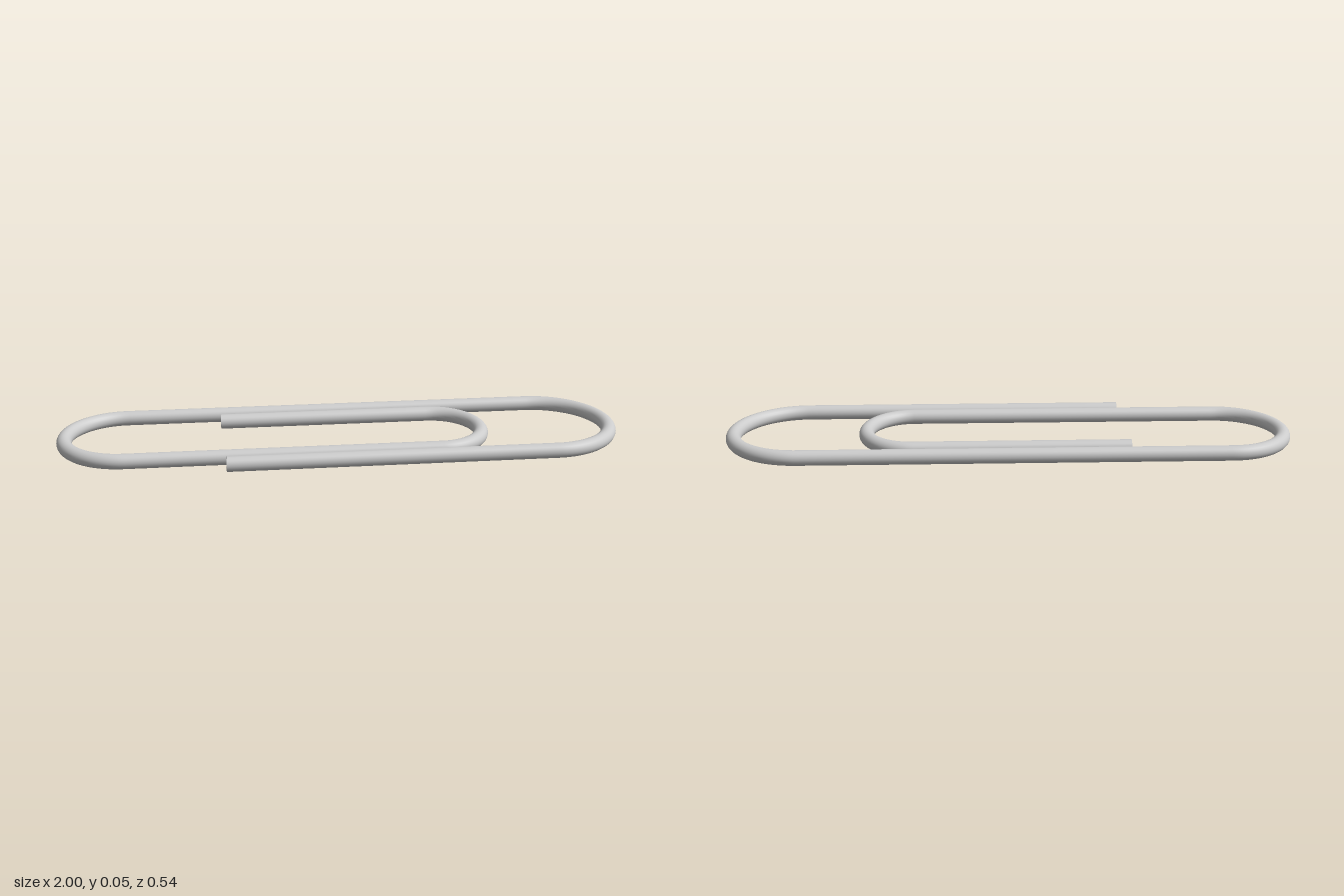
import * as THREE from 'three';

const R = 0.0265; // wire radius

// Half-ellipse bend lying flat at wire height
class Bend extends THREE.Curve {
  constructor(cx, z0, z1, rx) {
    super();
    Object.assign(this, { cx, z0, z1, rx });
  }
  getPoint(t, target = new THREE.Vector3()) {
    const a = Math.PI * t;
    const mid = (this.z0 + this.z1) / 2, half = (this.z0 - this.z1) / 2;
    return target.set(this.cx + this.rx * Math.sin(a), R, mid + half * Math.cos(a));
  }
}

export function createModel() {
  const group = new THREE.Group();
  group.name = 'paperClip';
  const material = new THREE.MeshStandardMaterial({ color: 0xcccccc });

  // z of the four parallel legs, from the inner free end to the outer one
  const legs = [-0.17, 0.18, -0.243, 0.243];
  const ends = [[-0.42, legs[0]], [-0.412, legs[3]]];
  const line = (x0, x1, z) =>
    new THREE.LineCurve3(new THREE.Vector3(x0, R, z), new THREE.Vector3(x1, R, z));

  const path = new THREE.CurvePath();
  path.add(line(ends[0][0], 0.34, legs[0]));
  path.add(new Bend(0.34, legs[0], legs[1], 0.165)); // inner bend
  path.add(line(0.34, -0.76, legs[1]));
  path.add(new Bend(-0.76, legs[1], legs[2], -0.2135)); // left bend
  path.add(line(-0.76, 0.73, legs[2]));
  path.add(new Bend(0.73, legs[2], legs[3], 0.2435)); // right bend
  path.add(line(0.73, ends[1][0], legs[3]));

  const wire = new THREE.Mesh(new THREE.TubeGeometry(path, 360, R, 24, false), material);
  wire.name = 'wire';
  group.add(wire);

  // Flat cut ends, both facing -x
  ends.forEach(([x, z], i) => {
    const cap = new THREE.Mesh(new THREE.CircleGeometry(R, 24).rotateY(-Math.PI / 2), material);
    cap.position.set(x, R, z);
    cap.name = i ? 'outerWireEnd' : 'innerWireEnd';
    group.add(cap);
  });
  return group;
}
